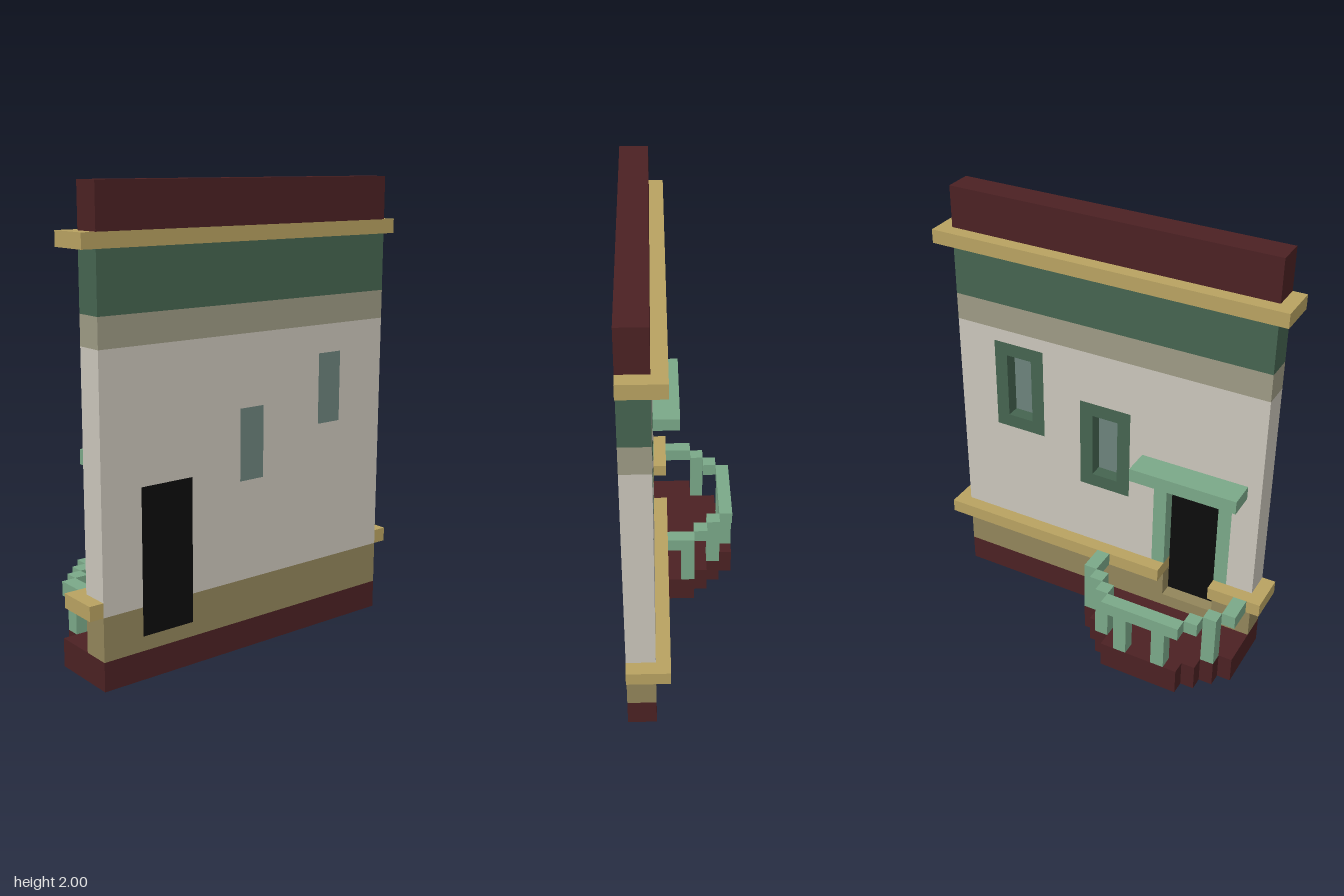
import * as THREE from 'three';

// All sizes are given in blocks of 1/16 unit.
const U = 1 / 16;

function mat(name, color) {
  const m = new THREE.MeshStandardMaterial({ color });
  m.name = name;
  return m;
}

export function createModel() {
  const root = new THREE.Group();
  root.name = 'houseFacade';

  const red = mat('darkRed', 0x4b2123);
  const gold = mat('gold', 0xb8a261);
  const olive = mat('olive', 0x92855a);
  const cream = mat('cream', 0xcac5ba);
  const stone = mat('greyTan', 0x9d9a84);
  const green = mat('deepGreen', 0x456450);
  const mint = mat('mintGreen', 0x7aa888);
  const glass = mat('glassGrey', 0x6c827b);
  const black = mat('black', 0x0c0c0c);

  // Box from its lower and upper corners.
  function box(name, material, x0, x1, y0, y1, z0, z1) {
    const g = new THREE.BoxGeometry((x1 - x0) * U, (y1 - y0) * U, (z1 - z0) * U);
    g.translate((x0 + x1) / 2 * U, (y0 + y1) / 2 * U, (z0 + z1) / 2 * U);
    const m = new THREE.Mesh(g, material);
    m.name = name;
    root.add(m);
  }

  // Slab from an outline of [z, y] points, with rectangular holes [z0, z1, y0, y1].
  function slab(name, material, x0, x1, points, holes = []) {
    const toVec = ([z, y]) => new THREE.Vector2(z * U, y * U);
    const shape = new THREE.Shape(points.map(toVec));
    for (const [a, b, c, d] of holes) {
      shape.holes.push(new THREE.Path([[a, c], [a, d], [b, d], [b, c]].map(toVec)));
    }
    const g = new THREE.ExtrudeGeometry(shape, { depth: (x1 - x0) * U, bevelEnabled: false });
    g.rotateY(-Math.PI / 2);
    g.translate(x1 * U, 0, 0);
    const m = new THREE.Mesh(g, material);
    m.name = name;
    root.add(m);
  }

  // Wall outline with a notch for the door cut from the bottom or the top.
  const notchBelow = (y0, y1, a, b, top) =>
    [[-12, y0], [a, y0], [a, top], [b, top], [b, y0], [12, y0], [12, y1], [-12, y1]];
  const notchAbove = (y0, y1, a, b, sill) =>
    [[-12, y0], [12, y0], [12, y1], [b, y1], [b, sill], [a, sill], [a, y1], [-12, y1]];

  // Window panes [z0, z1, y0, y1] and their frames, one block larger
  const panes = [[-1, 1, 12, 17], [-8, -6, 15, 20]];
  const grow = ([a, b, c, d]) => [a - 1, b + 1, c - 1, d + 1];

  // Wall bands
  box('wallBase', red, 2, 4, 0, 2, -12, 12);
  slab('lowerWall', olive, 2, 4, notchAbove(2, 5, 5, 9, 3));
  slab('mainWallInner', cream, 3, 4, notchBelow(5, 22, 5, 9, 13), panes);
  slab('mainWallOuter', cream, 2, 3, notchBelow(6, 22, 4, 10, 14), panes.map(grow));
  box('upperBand', stone, 2, 4, 22, 24, -12, 12);
  box('greenBand', green, 2, 4, 24, 28, -12, 12);
  box('parapet', red, 2, 4, 29, 32, -12, 12);

  // Cornice and sill moulding, broken at the door
  box('cornice', gold, 1, 4, 28, 29, -13, 13);
  box('sillMoulding', gold, 1, 3, 5, 6, -13, 5);
  box('sillMoulding', gold, 1, 3, 5, 6, 9, 13);
  box('sillMouldingEnd', gold, 3, 4, 5, 6, -13, -12);
  box('sillMouldingEnd', gold, 3, 4, 5, 6, 12, 13);

  // Windows: flush frame with the glass set back
  for (const p of panes) {
    const [a, b, c, d] = grow(p);
    slab('windowFrame', green, 2, 3, [[a, c], [b, c], [b, d], [a, d]], [p]);
    box('windowGlass', glass, 3, 4, p[2], p[3], p[0], p[1]);
  }

  // Door with frame and canopy
  box('door', black, 3, 4, 3, 13, 5, 9);
  box('doorJamb', mint, 2, 3, 6, 13, 4, 5);
  box('doorJamb', mint, 2, 3, 6, 13, 9, 10);
  box('doorLintel', mint, 2, 3, 13, 14, 4, 10);
  box('doorCanopy', mint, 0, 2, 14, 15, 3, 11);

  // Stepped balcony: [rail start x, rail end x, z0, z1]
  const steps = [
    [-1, 1, 0, 1], [-2, -1, 1, 2], [-3, -2, 2, 3], [-4, -3, 3, 9],
    [-3, -2, 9, 10], [-2, -1, 10, 11], [-1, 1, 11, 12],
  ];
  for (const [x0, x1, z0, z1] of steps) {
    box('balconyFloor', red, x0, 2, 0, 2, z0, z1);
    box('balconyRail', mint, x0, x1, 5, 6, z0, z1);
  }
  for (const [x, z] of [[-1, 0], [-3, 2], [-4, 4], [-4, 7], [-2, 10]]) {
    box('balconyPost', mint, x, x + 1, 2, 5, z, z + 1);
  }

  return root;
}
